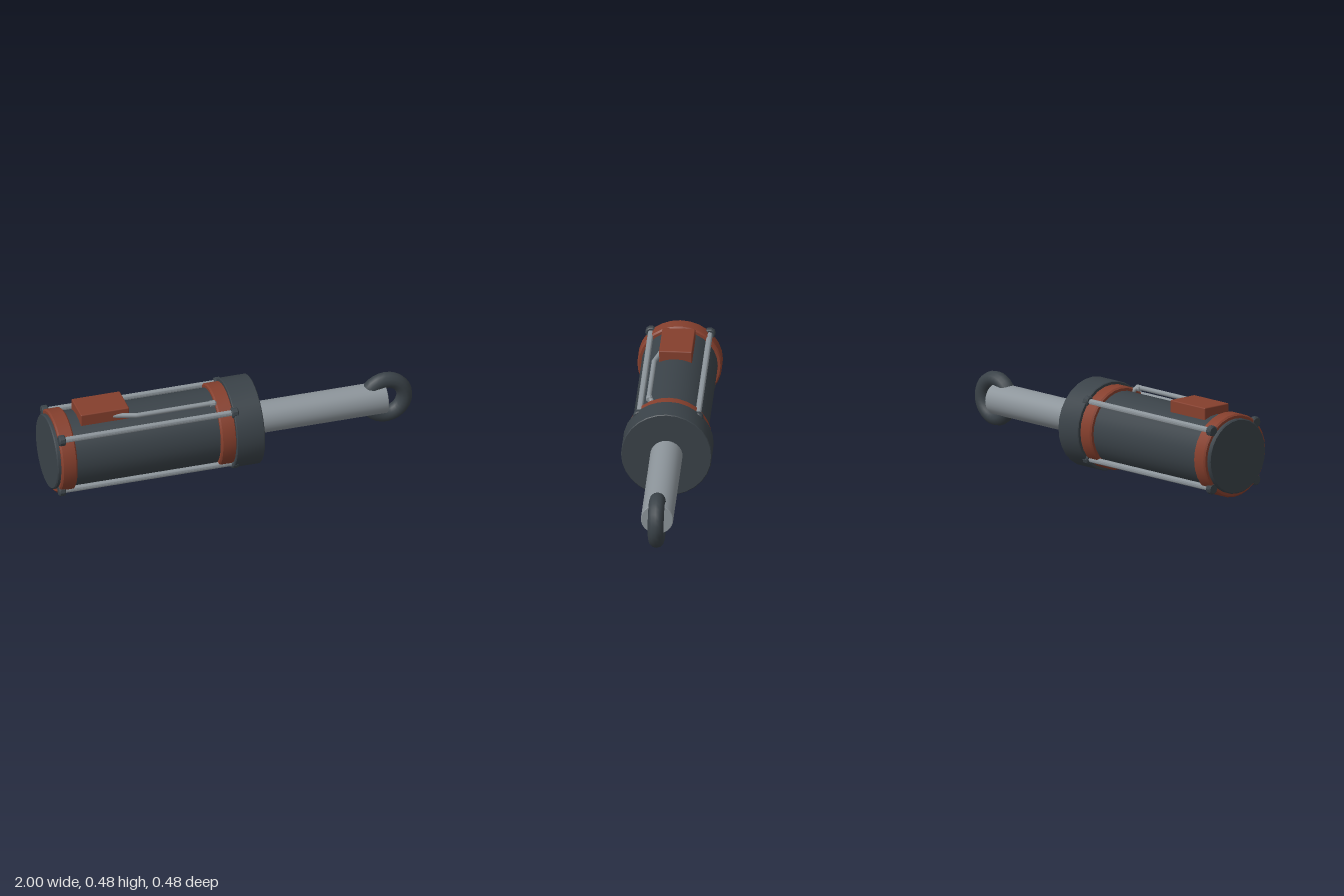
import * as THREE from 'three';
import { toCreasedNormals } from 'three/addons/utils/BufferGeometryUtils.js';
import { RoundedBoxGeometry } from 'three/addons/geometries/RoundedBoxGeometry.js';

const AXIS_Y = 0.24;

export function createModel() {
  const group = new THREE.Group();
  const material = (name, color) => {
    const m = new THREE.MeshStandardMaterial({ color });
    m.name = name;
    return m;
  };
  const dark = material('dark steel', 0x3a4248);
  const silver = material('silver steel', 0x8c949a);
  const rust = material('rust red', 0x853f2d);

  const add = (name, geometry, mat, x = 0, y = 0, z = 0) => {
    const mesh = new THREE.Mesh(geometry, mat);
    mesh.name = name;
    mesh.position.set(x, y, z);
    group.add(mesh);
    return mesh;
  };

  // Solid of revolution along x with chamfered ends
  const drum = (name, x0, x1, r, bevel, mat, sides = 28, y = AXIS_Y, z = 0) => {
    const profile = [
      [0, x0], [r - bevel, x0], [r, x0 + bevel],
      [r, x1 - bevel], [r - bevel, x1], [0, x1],
    ].map(([px, py]) => new THREE.Vector2(px, py));
    const geometry = toCreasedNormals(new THREE.LatheGeometry(profile, sides), 0.6);
    geometry.rotateZ(-Math.PI / 2);
    return add(name, geometry, mat, 0, y, z);
  };

  // Main body
  drum('barrel', -1, -0.02, 0.2, 0.006, dark);
  drum('rearBand', -0.98, -0.895, 0.222, 0.008, rust);
  drum('frontBand', -0.11, -0.025, 0.222, 0.008, rust);
  drum('headCollar', -0.03, 0.122, 0.238, 0.004, dark);

  // Piston rod and mounting eye
  drum('pistonRod', 0.1, 0.845, 0.085, 0.003, silver);
  add('mountingEye', new THREE.TorusGeometry(0.103, 0.042, 12, 28), dark, 0.85, AXIS_Y, 0);

  // Four tie rods with a nut at each end
  for (const sy of [-1, 1]) {
    for (const sz of [-1, 1]) {
      const y = AXIS_Y + sy * 0.154, z = sz * 0.154;
      drum('tieRod', -0.965, -0.02, 0.016, 0.001, silver, 12, y, z);
      drum('rearNut', -0.982, -0.947, 0.03, 0.006, dark, 10, y, z);
      drum('frontNut', -0.04, -0.003, 0.03, 0.006, dark, 10, y, z);
    }
  }

  // Valve block on top of the barrel
  add('valveBlock', new RoundedBoxGeometry(0.264, 0.07, 0.173, 2, 0.006), rust, -0.707, 0.45, 0);

  // Fluid line from the block to the front band
  const path = new THREE.CurvePath();
  const points = [
    [-0.68, 0.446, 0.07], [-0.62, 0.446, 0.085], [-0.535, 0.445, 0.109],
    [-0.135, 0.445, 0.109], [-0.118, 0.44, 0.098], [-0.1, 0.42, 0.085],
  ].map((p) => new THREE.Vector3(...p));
  for (let i = 1; i < points.length; i++) path.add(new THREE.LineCurve3(points[i - 1], points[i]));
  add('fluidLine', new THREE.TubeGeometry(path, 60, 0.013, 10), silver);
  // Collar fitting where the line meets the front band
  drum('lineFitting', -0.142, -0.112, 0.017, 0.003, silver, 10, 0.442, 0.107);

  return group;
}
